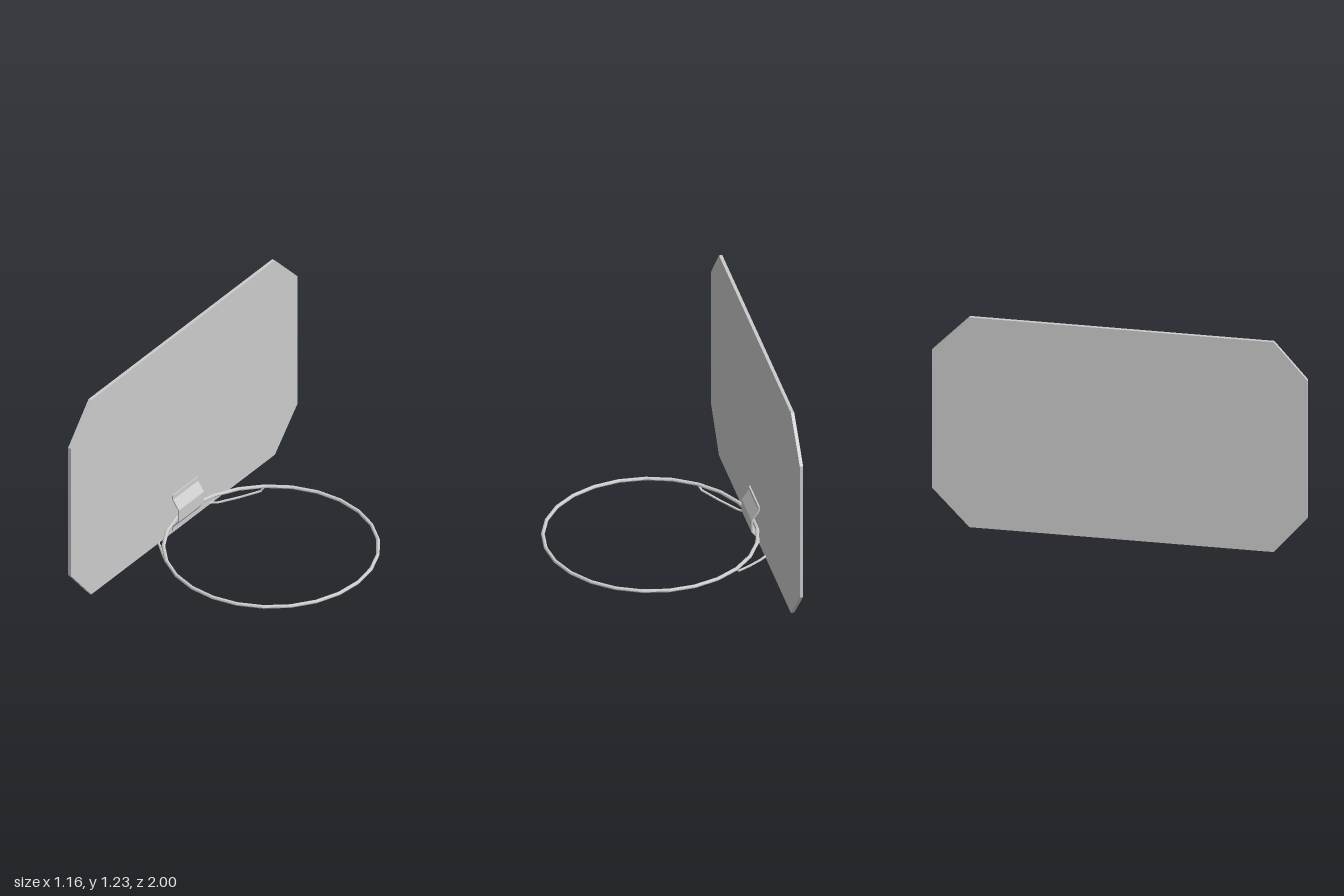
import * as THREE from 'three';

const mat = new THREE.MeshStandardMaterial({ color: 0xcccccc, flatShading: true });

function addMesh(group, name, geometry) {
  const mesh = new THREE.Mesh(geometry, mat);
  mesh.name = name;
  group.add(mesh);
  return mesh;
}

const shapeOf = (pts) => new THREE.Shape(pts.map(([x, y]) => new THREE.Vector2(x, y)));

// Bent rod: straight runs with one tube ring on every corner
class Polyline extends THREE.Curve {
  constructor(points) {
    super();
    this.points = points;
  }
  getPoint(t, target = new THREE.Vector3()) {
    const s = t * (this.points.length - 1);
    const i = Math.min(Math.floor(s), this.points.length - 2);
    return target.lerpVectors(this.points[i], this.points[i + 1], s - i);
  }
  getUtoTmapping(u) {
    return u;
  }
}

export function createModel() {
  const model = new THREE.Group();
  model.name = 'basketballHoop';

  // Backboard with clipped corners, drawn across z and extruded along x
  const board = new THREE.ExtrudeGeometry(shapeOf([
    [-0.82, 0], [0.8, 0], [1, 0.215], [1, 1.02],
    [0.8, 1.23], [-0.82, 1.23], [-1, 1.02], [-1, 0.215],
  ]), { depth: 0.018, bevelEnabled: false });
  board.rotateY(Math.PI / 2);
  board.translate(-0.58, 0, 0);
  addMesh(model, 'backboard', board);

  // Rim
  const rim = new THREE.TorusGeometry(0.564, 0.01, 8, 25);
  rim.rotateX(Math.PI / 2);
  rim.translate(0.003, 0.083, 0);
  addMesh(model, 'rim', rim);

  // Folded sheet bracket holding the rim to the board
  const front = [
    [-0.553, 0.017], [-0.553, 0.04], [-0.515, 0.09],
    [-0.515, 0.162], [-0.553, 0.216], [-0.553, 0.239],
  ];
  const back = front.map(([x, y]) => [x - 0.008, y]).reverse();
  const bracket = new THREE.ExtrudeGeometry(shapeOf([...front, ...back]), {
    depth: 0.22, bevelEnabled: false,
  });
  bracket.translate(0, 0, -0.11);
  addMesh(model, 'rimBracket', bracket);

  // Bent support rods, mirrored left and right of the bracket
  for (const side of [1, -1]) {
    const path = [
      [-0.572, 0.008, 0.22], [-0.53, 0.008, 0.257], [-0.45, 0.029, 0.337],
      [-0.372, 0.056, 0.415], [-0.358, 0.08, 0.43],
    ].map(([x, y, z]) => new THREE.Vector3(x, y, z * side));
    addMesh(model, side > 0 ? 'leftBrace' : 'rightBrace',
      new THREE.TubeGeometry(new Polyline(path), path.length - 1, 0.0065, 6));
  }

  return model;
}
